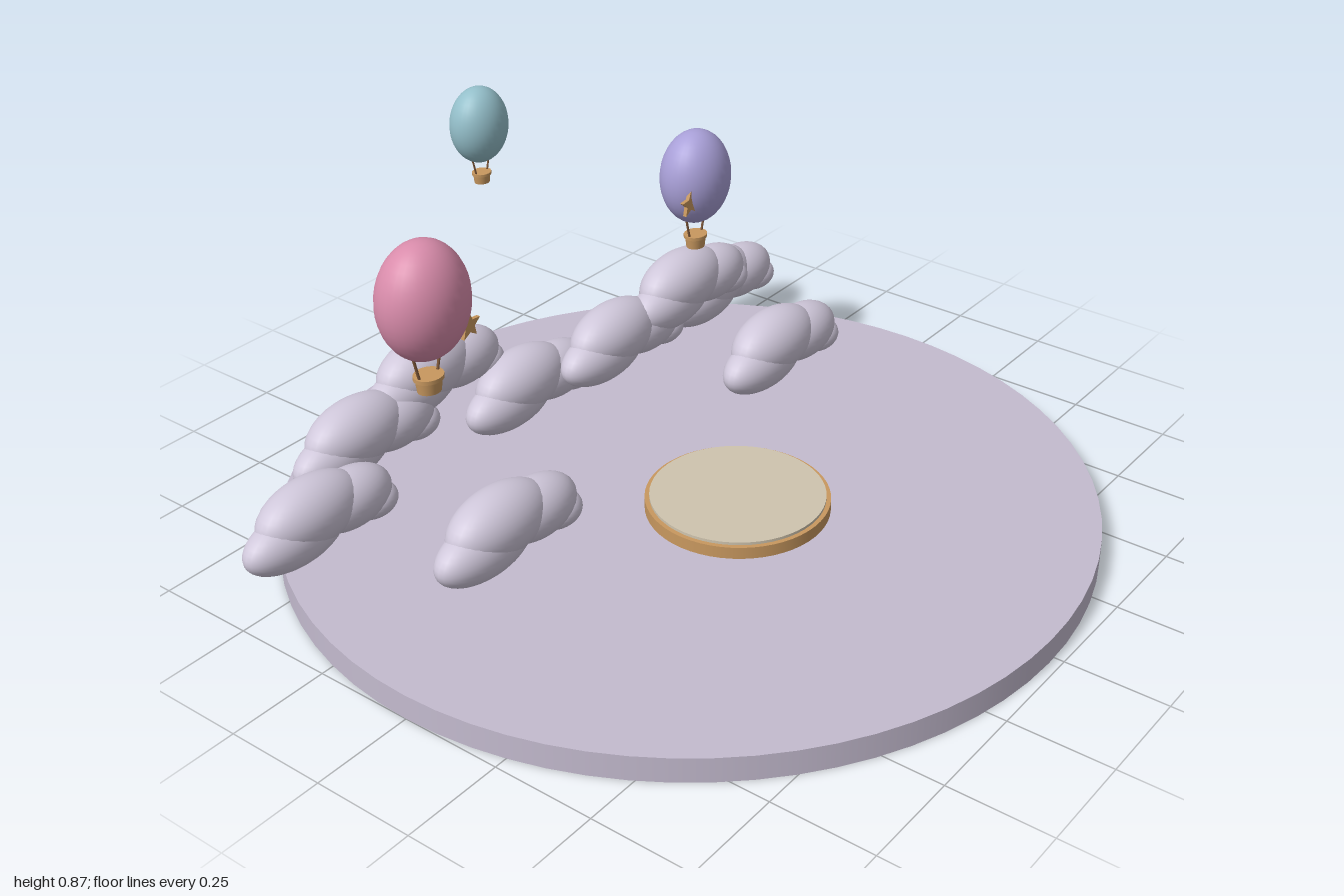
import * as THREE from 'three';

const mat = (name, color, side = THREE.FrontSide) => {
  const m = new THREE.MeshStandardMaterial({ color, side });
  m.name = name;
  return m;
};

export function createModel() {
  const root = new THREE.Group();
  root.name = 'balloonScene';
  const M = {
    floor: mat('floorLilac', 0xc4bbcf),
    cloud: mat('cloudLilac', 0xcfc7da),
    cream: mat('cream', 0xcfc4ae),
    tan: mat('tan', 0xc8985f),
    rope: mat('ropeBrown', 0x80593a),
    pink: mat('pink', 0xd98cab),
    teal: mat('teal', 0x94bfca),
    violet: mat('violet', 0xa9a0d8),
  };
  const add = (parent, name, geo, material, x = 0, y = 0, z = 0) => {
    const m = new THREE.Mesh(geo, material);
    m.name = name;
    m.position.set(x, y, z);
    parent.add(m);
    return m;
  };
  const CX = -0.024; // centre line of the stage

  // Round floor and small raised podium
  add(root, 'floorDisc', new THREE.CylinderGeometry(0.976, 0.976, 0.062, 72), M.floor, CX, 0.031, 0);
  add(root, 'podium', new THREE.CylinderGeometry(0.22, 0.22, 0.03, 56), M.tan, CX, 0.09, 0.141);
  add(root, 'podiumTop', new THREE.CylinderGeometry(0.209, 0.209, 0.007, 56), M.cream, CX, 0.1085, 0.141);

  // Clouds: four overlapping puffs [x, y, z, rx, ry, rz], measured from left end and base
  const puffs = [
    [0.145, 0.07, 0.005, 0.145, 0.07, 0.066],
    [0.2, 0.107, 0, 0.15, 0.084, 0.079],
    [0.312, 0.089, 0.008, 0.122, 0.072, 0.071],
    [0.378, 0.053, 0.014, 0.068, 0.042, 0.055],
  ];
  const ball = new THREE.SphereGeometry(1, 32, 20);
  const cloud = (name, x, y, z) => {
    const g = new THREE.Group();
    g.name = name;
    g.position.set(x, y, z);
    for (const [px, py, pz, rx, ry, rz] of puffs) {
      add(g, 'cloudPuff', ball, M.cloud, px, py, pz).scale.set(rx, ry, rz);
    }
    root.add(g);
  };
  // Winding row of clouds at the back, at three repeating heights
  [-0.535, -0.632, -0.642, -0.555, -0.455, -0.427, -0.513].forEach((z, i) =>
    cloud('backCloud', -0.947 + 0.249 * i, 0.062 + 0.059 * (i % 3), z));
  // Pair of clouds nearer the front
  for (const x of [-0.765, 0.289]) cloud('frontCloud', x, 0.105, -0.122);

  // Hot air balloons
  const up = new THREE.Vector3(0, 1, 0);
  const balloon = (name, material, x, y, z, s) => {
    const g = new THREE.Group();
    g.name = name;
    g.position.set(x, y, z);
    g.scale.setScalar(s);
    add(g, 'envelope', ball, material).scale.set(0.117, 0.144, 0.099);
    add(g, 'basket', new THREE.CylinderGeometry(0.034, 0.03, 0.034, 20), M.tan, 0, -0.211, 0).scale.z = 0.88;
    add(g, 'basketRim', new THREE.CylinderGeometry(0.038, 0.038, 0.01, 20), M.tan, 0, -0.192, 0).scale.z = 0.88;
    for (const side of [-1, 1]) {
      const a = new THREE.Vector3(side * 0.028, -0.195, 0);
      const b = new THREE.Vector3(side * 0.045, -0.125, 0);
      const d = b.clone().sub(a);
      const mid = a.clone().add(b).multiplyScalar(0.5);
      const rope = add(g, 'rope', new THREE.CylinderGeometry(0.0035, 0.0035, d.length(), 8), M.rope, mid.x, mid.y, mid.z);
      rope.quaternion.setFromUnitVectors(up, d.normalize());
    }
    root.add(g);
  };
  balloon('pinkBalloon', M.pink, -0.5, 0.658, -0.374, 1);
  balloon('violetBalloon', M.violet, 0.463, 0.62, -0.354, 0.86);
  balloon('tealBalloon', M.teal, 0.107, 0.777, -0.757, 0.68);

  // Small stars beside the two front balloons
  const star = new THREE.Shape();
  for (let i = 0; i < 10; i++) {
    const r = i % 2 ? 0.016 : 0.035;
    const t = Math.PI / 2 + (i * Math.PI) / 5;
    star[i ? 'lineTo' : 'moveTo'](r * Math.cos(t), r * Math.sin(t));
  }
  star.closePath();
  const starGeo = new THREE.ExtrudeGeometry(star, { depth: 0.01, bevelEnabled: false });
  for (const side of [-1, 1]) add(root, 'star', starGeo, M.tan, CX + side * 0.405, 0.585, -0.315);

  return root;
}
